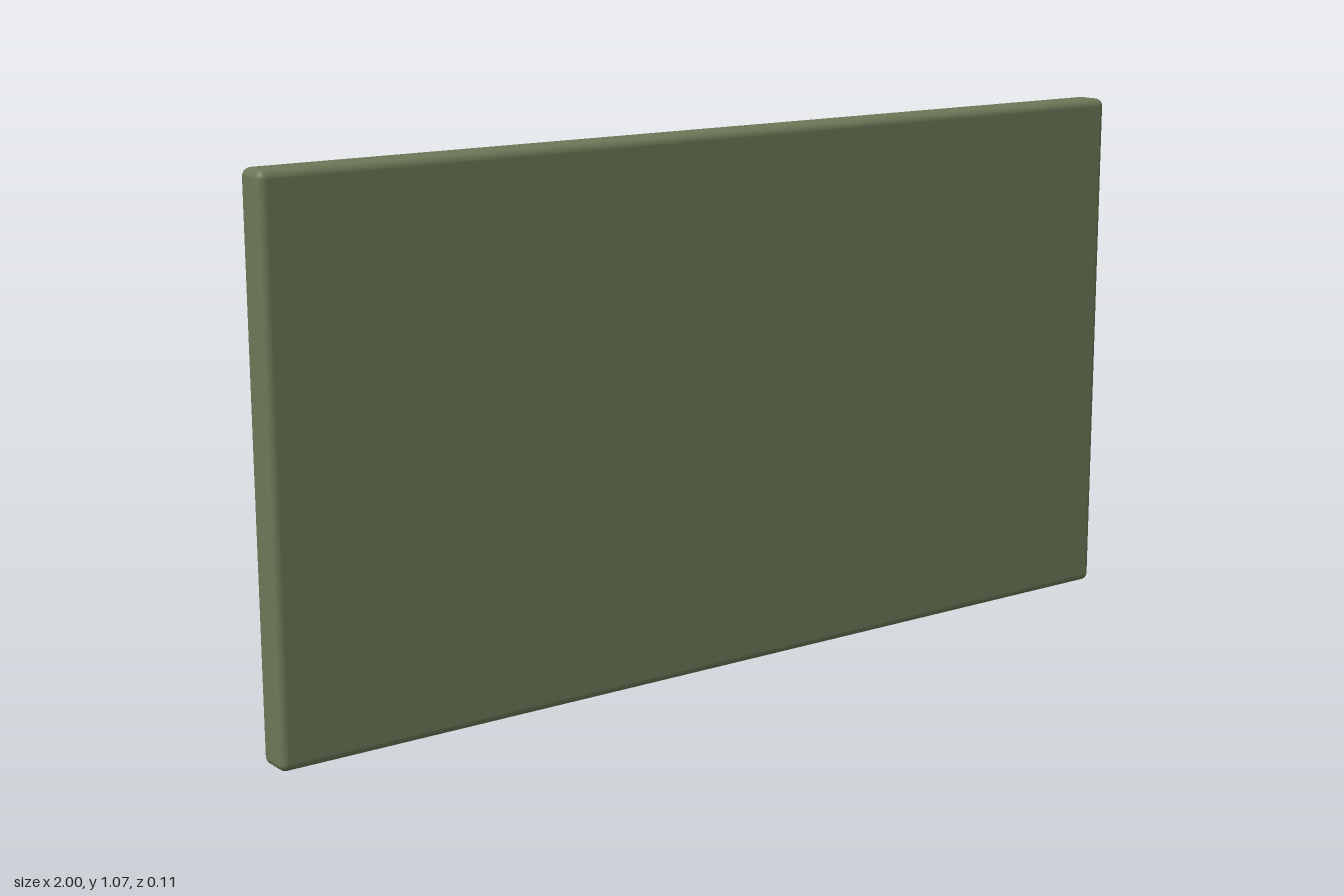
import * as THREE from 'three';
import { RoundedBoxGeometry } from 'three/addons/geometries/RoundedBoxGeometry.js';

const paint = (color) => new THREE.MeshStandardMaterial({ color });

export function createModel() {
  const model = new THREE.Group();
  model.name = 'planBoard';
  const green = paint(0x6b7857), paper = paint(0xb9b49f);
  const ink = paint(0x2b3038), red = paint(0xc0392b);

  const add = (name, geometry, material, x, y, z) => {
    const mesh = new THREE.Mesh(geometry, material);
    mesh.name = name;
    mesh.position.set(x, y, z);
    model.add(mesh);
    return mesh;
  };

  // Thick rounded backing board
  add('board', new RoundedBoxGeometry(2, 1.07, 0.072, 4, 0.016), green, 0, 0.535, 0.019);

  // Thin sheet on the rear face
  add('sheet', new THREE.BoxGeometry(1.82, 0.9, 0.01), paper, 0, 0.535, -0.0215);

  // Rectangular outlines: x0, x1, y0, y1 along the line centres
  const w = 0.016;
  const rect = (path, x0, x1, y0, y1) => {
    path.moveTo(x0, y0);
    path.lineTo(x1, y0);
    path.lineTo(x1, y1);
    path.lineTo(x0, y1);
    path.closePath();
    return path;
  };
  const outlines = [
    ['leftOutline', 0.28, 0.72, 0.495, 0.868],
    ['middleOutline', -0.367, 0.173, 0.495, 0.868],
    ['rightOutline', -0.775, -0.418, 0.424, 0.868],
    ['lowerOutline', -0.605, 0.787, 0.212, 0.357],
  ];
  for (const [name, x0, x1, y0, y1] of outlines) {
    const h = w / 2;
    const shape = rect(new THREE.Shape(), x0 - h, x1 + h, y0 - h, y1 + h);
    shape.holes.push(rect(new THREE.Path(), x0 + h, x1 - h, y0 + h, y1 - h));
    const geometry = new THREE.ExtrudeGeometry(shape, { depth: 0.004, bevelEnabled: false });
    add(name, geometry, ink, 0, 0, -0.0325);
  }

  // Round marker pins with softened rims, turned to face the rear
  const profile = [[0, -0.0095], [0.027, -0.0095], [0.0295, -0.0075], [0.03, -0.005],
    [0.03, 0.005], [0.0295, 0.0075], [0.027, 0.0095], [0, 0.0095]]
    .map(([r, y]) => new THREE.Vector2(r, y));
  const pinGeometry = new THREE.LatheGeometry(profile, 32).rotateX(-Math.PI / 2);
  const pins = [[0.573, 0.65], [0.108, 0.69], [-0.608, 0.63]];
  for (const [x, y] of pins) add('pin', pinGeometry, red, x, y, -0.0455);

  return model;
}
